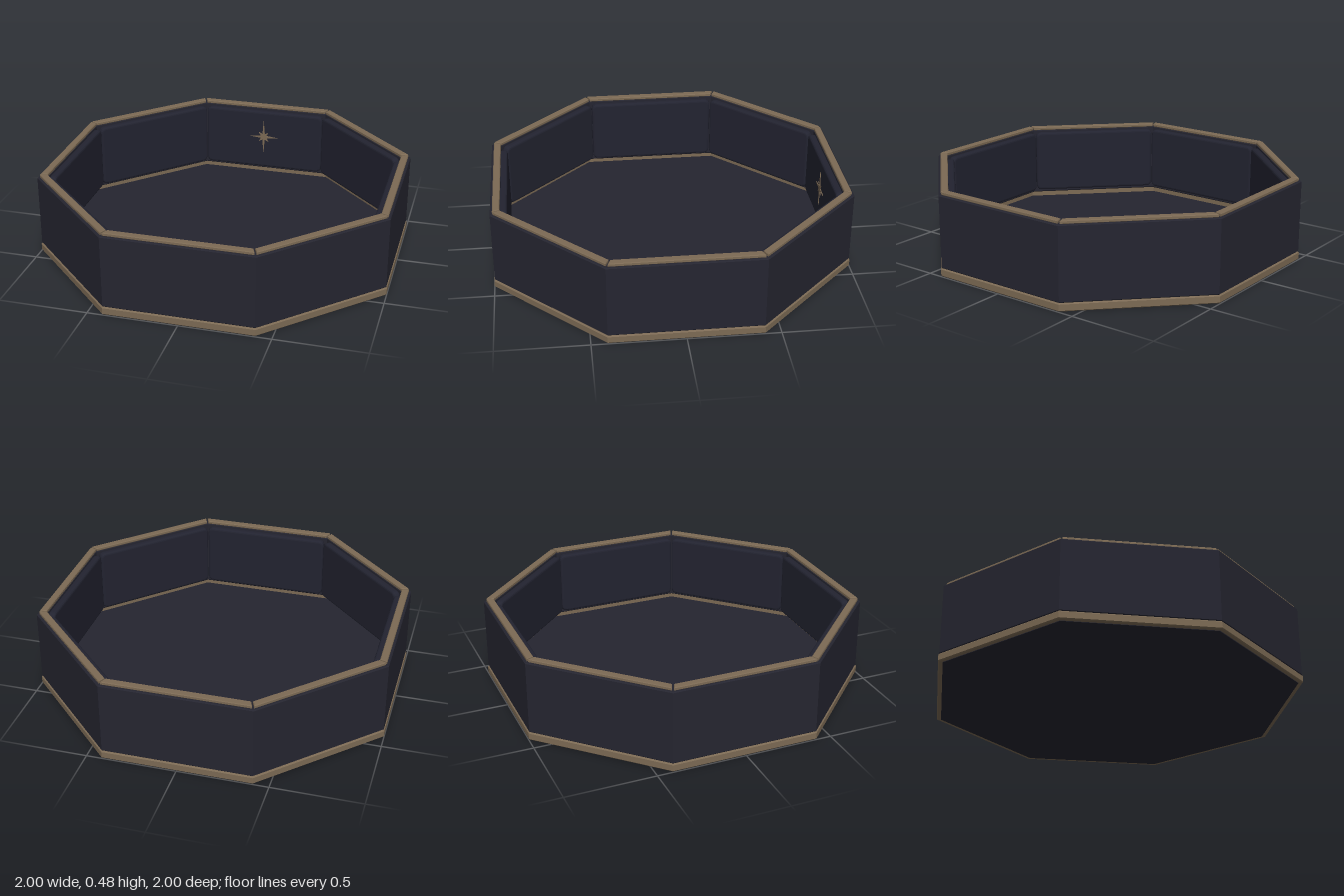
import * as THREE from 'three';

const SIDES = 8;
const T = Math.tan(Math.PI / SIDES);
const C = Math.cos(Math.PI / SIDES);

// Octagonal solid from a profile of [apothem, height] points
function octagon(name, profile, material) {
  const pts = profile.map(([a, y]) => new THREE.Vector2(a / C, y));
  const geo = new THREE.LatheGeometry(pts, SIDES, Math.PI / SIDES).toNonIndexed();
  geo.computeVertexNormals();
  const mesh = new THREE.Mesh(geo, material);
  mesh.name = name;
  return mesh;
}

// Closed ring with small bevels between two apothems and two heights
function ring(name, a0, a1, y0, y1, b, material) {
  return octagon(name, [
    [a0 + b, y0], [a1 - b, y0], [a1, y0 + b], [a1, y1 - b], [a1 - b, y1],
    [a0 + b, y1], [a0, y1 - b], [a0, y0 + b], [a0 + b, y0],
  ], material);
}

// Mitred rim bar lying along the -z side
function rimBarGeometry(a0, a1, height, bevel) {
  const gap = 0.005, i = a0 + bevel, o = a1 - bevel;
  const shape = new THREE.Shape([
    [-i * T + gap + bevel, i], [i * T - gap - bevel, i],
    [o * T - gap - bevel, o], [-o * T + gap + bevel, o],
  ].map(([x, y]) => new THREE.Vector2(x, y)));
  const geo = new THREE.ExtrudeGeometry(shape, {
    depth: height - 2 * bevel, bevelEnabled: true,
    bevelSize: bevel, bevelThickness: bevel, bevelSegments: 1,
  });
  geo.rotateX(-Math.PI / 2);
  return geo.translate(0, bevel, 0);
}

// Rounded padded panel, facing +z
function panelGeometry(halfW, y0, y1, depth, bevel) {
  const r = 0.02, x = halfW - bevel, b = y0 + bevel, t = y1 - bevel;
  const s = new THREE.Shape();
  s.moveTo(-x + r, b).lineTo(x - r, b).quadraticCurveTo(x, b, x, b + r);
  s.lineTo(x, t - r).quadraticCurveTo(x, t, x - r, t);
  s.lineTo(-x + r, t).quadraticCurveTo(-x, t, -x, t - r);
  s.lineTo(-x, b + r).quadraticCurveTo(-x, b, -x + r, b);
  return new THREE.ExtrudeGeometry(s, {
    depth: depth - 2 * bevel, curveSegments: 4, bevelEnabled: true,
    bevelSize: bevel, bevelThickness: bevel, bevelSegments: 3,
  }).translate(0, 0, bevel);
}

// Eight-pointed compass star, long on the upright axis
function starGeometry() {
  const pts = [];
  for (let i = 0; i < 16; i++) {
    const ang = i * Math.PI / 8;
    const r = i % 2 ? 0.02 : i % 8 === 4 ? 0.11 : i % 4 === 0 ? 0.09 : 0.045;
    pts.push(new THREE.Vector2(r * Math.cos(ang), r * Math.sin(ang)));
  }
  return new THREE.ExtrudeGeometry(new THREE.Shape(pts), { depth: 0.006, bevelEnabled: false });
}

export function createModel() {
  const dark = new THREE.MeshStandardMaterial({ color: 0x252530 });
  dark.name = 'dark slate';
  const padding = new THREE.MeshStandardMaterial({ color: 0x222330 });
  padding.name = 'midnight padding';
  const bronze = new THREE.MeshStandardMaterial({ color: 0x7c6a54 });
  bronze.name = 'muted bronze';

  const model = new THREE.Group();
  model.name = 'octagonalTray';

  // Floor, base trim and outer wall
  model.add(octagon('floor', [[0, 0], [0.975, 0], [0.975, 0.012], [0, 0.012]], dark));
  model.add(ring('baseTrim', 0.972, 1.0, 0.001, 0.047, 0.006, bronze));
  model.add(ring('outerWall', 0.943, 0.996, 0.047, 0.462, 0.005, dark));

  // Rim bar and padded panel on each side
  const barGeo = rimBarGeometry(0.943, 0.984, 0.02, 0.004);
  const panelGeo = panelGeometry(0.377, 0.07, 0.45, 0.045, 0.014);
  for (let i = 0; i < SIDES; i++) {
    const side = new THREE.Group();
    side.name = `side${i + 1}`;
    side.rotation.y = i * Math.PI / 4;
    const bar = new THREE.Mesh(barGeo, bronze);
    bar.name = 'rimBar';
    bar.position.y = 0.46;
    const panel = new THREE.Mesh(panelGeo, padding);
    panel.name = 'innerPanel';
    panel.position.z = -0.95;
    side.add(bar, panel);
    model.add(side);
  }

  // Star inlay on the inside of the back wall
  const star = new THREE.Mesh(starGeometry(), bronze);
  star.name = 'starInlay';
  star.position.set(0, 0.28, -0.907);
  model.add(star);

  return model;
}
